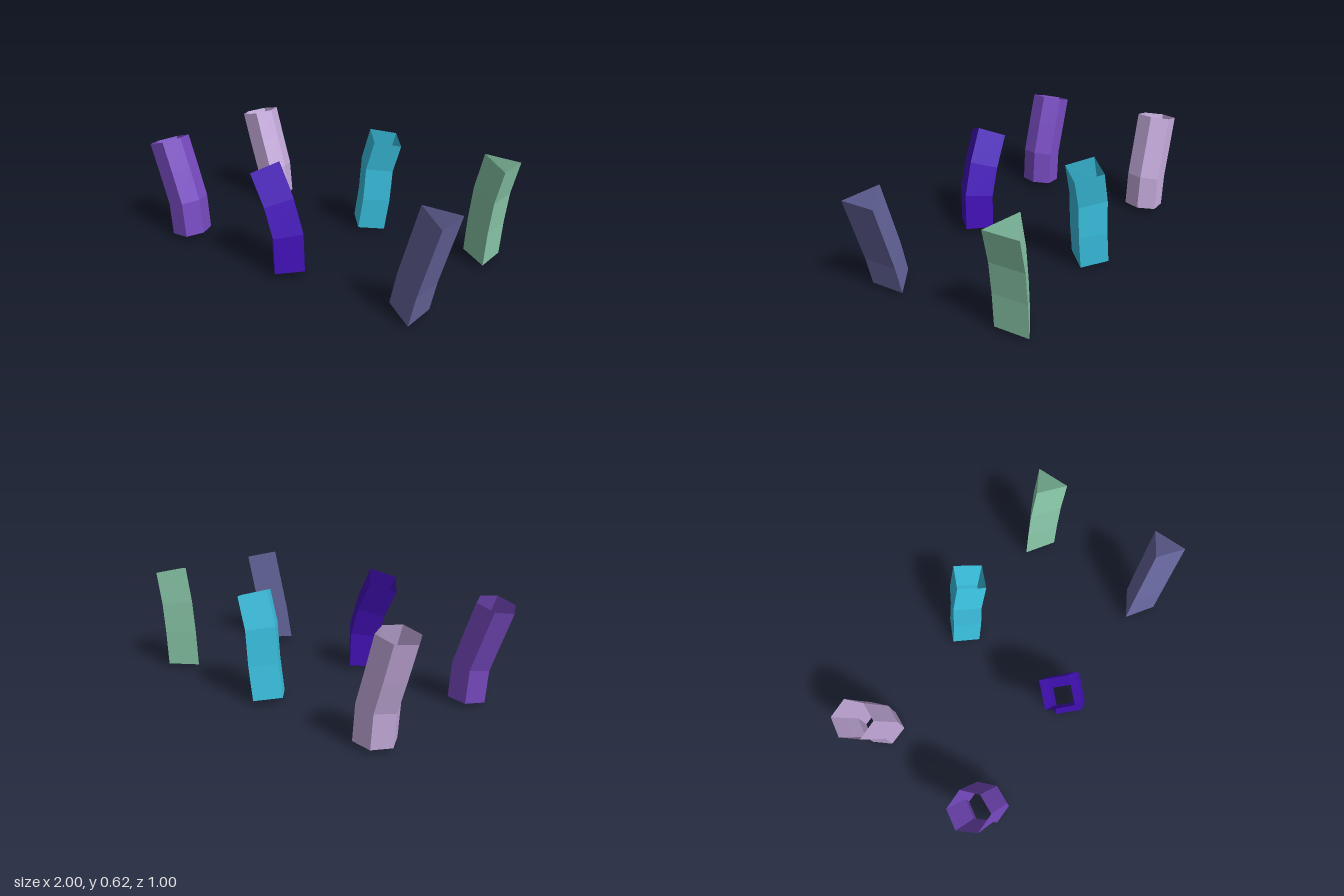
import * as THREE from 'three';

const R = 0.115;

// Cross-section corners as [x, z] offsets, in order from +x towards +z
const ring = (angles) => angles.map((d) => {
  const a = THREE.MathUtils.degToRad(d);
  return [R * Math.cos(a), R * Math.sin(a)];
});
const triangle = ring([-60, 60, 180]);
const diamond = ring([0, 90, 180, 270]);
const hexagon = ring([0, 60, 120, 180, 240, 300]);
hexagon[0][0] *= 0.87;

// Open bent tube: each station is [x, y, lean to the right in degrees]
function bentTube(name, color, section, z0, stations) {
  const n = section.length;
  const position = [];
  const index = [];
  stations.forEach(([x, y, lean], i) => {
    const t = THREE.MathUtils.degToRad(lean);
    section.forEach(([sx, sz], j) => {
      position.push(x + sx * Math.cos(t), y - sx * Math.sin(t), z0 + sz);
      if (i === stations.length - 1) return;
      const a = i * n + j;
      const b = i * n + (j + 1) % n;
      index.push(a, a + n, b, b, a + n, b + n);
    });
  });
  const indexed = new THREE.BufferGeometry();
  indexed.setAttribute('position', new THREE.Float32BufferAttribute(position, 3));
  indexed.setIndex(index);
  const geometry = indexed.toNonIndexed();
  geometry.computeVertexNormals();
  const mesh = new THREE.Mesh(geometry, new THREE.MeshStandardMaterial({
    color, flatShading: true, side: THREE.DoubleSide,
  }));
  mesh.name = name;
  return mesh;
}

export function createModel() {
  const group = new THREE.Group();
  group.name = 'bentTubes';
  const front = 0.385;
  const back = -0.385;

  // Front row
  group.add(bentTube('frontRightHexTube', 0x7a4cc4, hexagon, front,
    [[-0.749, 0.027, -5], [-0.765, 0.225, -11], [-0.826, 0.401, -18], [-0.889, 0.576, -16]]));
  group.add(bentTube('frontMiddleSquareTube', 0x4411bb, diamond, front,
    [[0.024, 0.027, -3], [0.019, 0.233, -9], [-0.037, 0.396, -23], [-0.128, 0.57, -29]]));
  group.add(bentTube('frontLeftTriangleTube', 0x6a6aa4, triangle, front,
    [[0.794, 0.024, 8], [0.832, 0.195, 14], [0.891, 0.396, 17], [0.944, 0.576, 15]]));

  // Back row
  group.add(bentTube('backRightHexTube', 0xc8aee0, hexagon, back,
    [[-0.749, 0.027, -4], [-0.765, 0.22, -10], [-0.82, 0.4, -17], [-0.873, 0.583, -12]]));
  group.add(bentTube('backMiddleSquareTube', 0x3cc6e6, diamond, back,
    [[0.024, 0.022, 10], [0.056, 0.214, 7], [0.073, 0.412, 11], [0.128, 0.59, 17]]));
  group.add(bentTube('backLeftTriangleTube', 0x8cccac, triangle, back,
    [[0.797, 0.024, 4], [0.81, 0.222, 4.5], [0.831, 0.405, 9], [0.877, 0.597, 14]]));

  return group;
}
